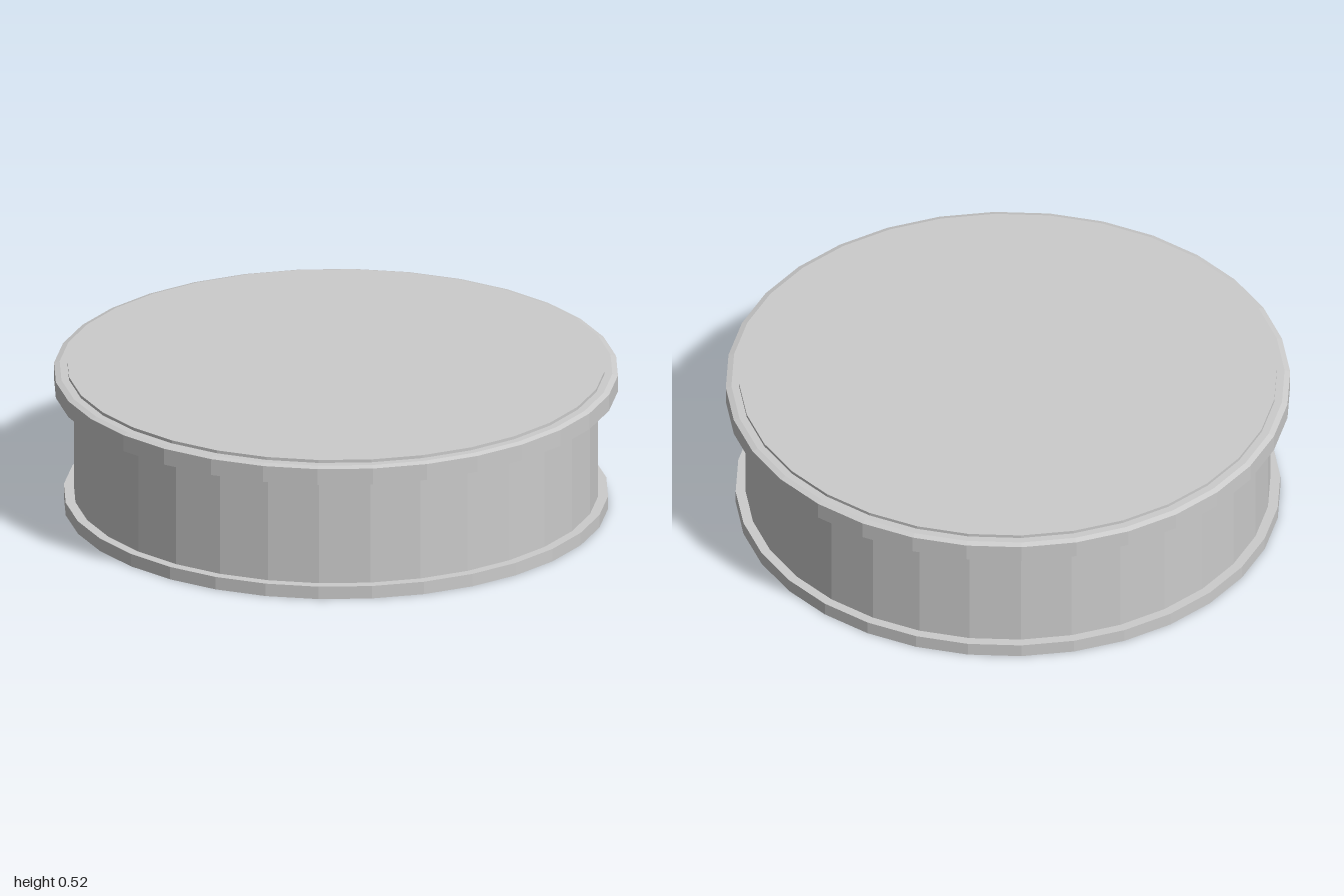
import * as THREE from 'three';

const SIDES = 32;

// Faceted solid turned from [radius, height] points, bottom to top
function turned(name, points) {
  const profile = points.map(([r, y]) => new THREE.Vector2(r, y));
  const mesh = new THREE.Mesh(
    new THREE.LatheGeometry(profile, SIDES),
    new THREE.MeshStandardMaterial({ color: 0xcccccc, flatShading: true })
  );
  mesh.name = name;
  return mesh;
}

export function createModel() {
  const group = new THREE.Group();
  group.name = 'roundDrum';

  // Thin foot flange with closed underside
  group.add(turned('baseFlange', [[0, 0], [0.965, 0], [0.965, 0.047], [0.93, 0.047]]));

  // Straight drum wall
  group.add(turned('body', [[0.93, 0.047], [0.93, 0.425]]));

  // Overhanging rim: flared underside, upright edge, small bevel on top
  group.add(turned('rim', [[0.93, 0.425], [1, 0.445], [1, 0.505], [0.98, 0.511], [0.953, 0.511]]));

  // Slightly raised top plate
  group.add(turned('topPlate', [[0.953, 0.511], [0.953, 0.522], [0, 0.522]]));

  return group;
}
